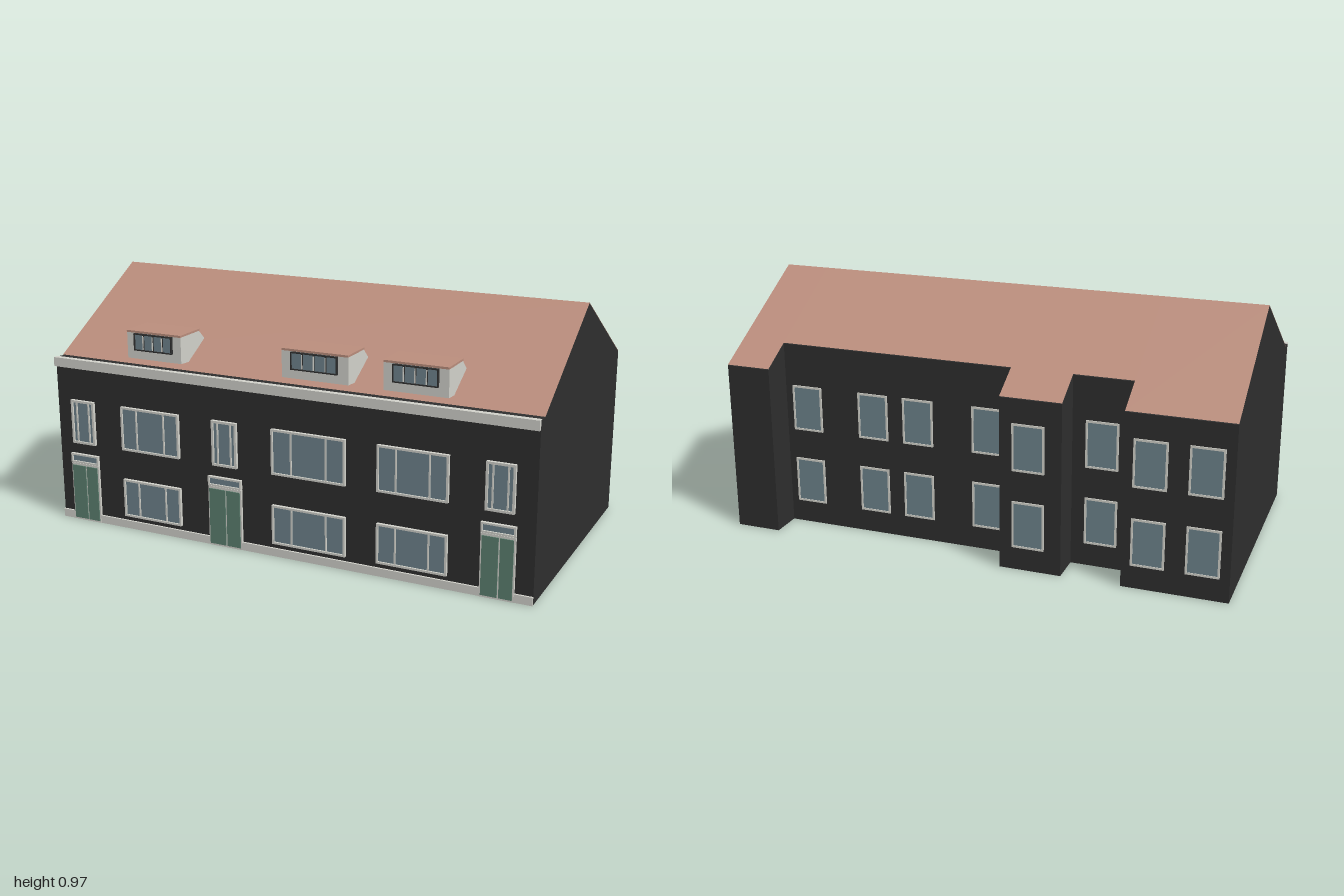
import * as THREE from 'three';

const mat = (name, color, extra = {}) => Object.assign(new THREE.MeshStandardMaterial({ color, ...extra }), { name });

export function createModel() {
  const house = new THREE.Group();
  house.name = 'terraceHouses';
  const brick = mat('darkBrick', 0x2e2e2e);
  const tile = mat('roofTile', 0xbb8e7d);
  tile.side = THREE.DoubleSide;
  const trim = mat('paleTrim', 0xd2d2cb);
  const glass = mat('glass', 0x6e838c);
  const green = mat('greenDoor', 0x5c8070);

  // Box given by its limits
  const box = (parent, name, m, x0, x1, y0, y1, z0, z1) => {
    const mesh = new THREE.Mesh(new THREE.BoxGeometry(x1 - x0, y1 - y0, z1 - z0), m);
    mesh.position.set((x0 + x1) / 2, (y0 + y1) / 2, (z0 + z1) / 2);
    mesh.name = name;
    parent.add(mesh);
    return mesh;
  };
  const group = (name) => {
    const g = new THREE.Group();
    g.name = name;
    house.add(g);
    return g;
  };
  // Solid with a (z, y) profile running from x0 to x1
  const alongX = (name, m, profile, x0, x1) => {
    const shape = new THREE.Shape(profile.map(([z, y]) => new THREE.Vector2(-z, y)));
    const geo = new THREE.ExtrudeGeometry(shape, { depth: x1 - x0, bevelEnabled: false });
    geo.rotateY(Math.PI / 2);
    geo.translate(x0, 0, 0);
    const mesh = new THREE.Mesh(geo, m);
    mesh.name = name;
    return mesh;
  };

  const ridgeZ = -0.03, ridgeY = 0.97, slope = 0.58, gutterZ = 0.48, frontZ = 0.525;
  const roofY = (z) => ridgeY - slope * Math.abs(z - ridgeZ);

  // Sloping sheet between two z positions
  const roofSheet = (name, x0, x1, zFront, zBack) => {
    const geo = new THREE.BufferGeometry();
    const a = roofY(zFront), b = roofY(zBack);
    geo.setAttribute('position', new THREE.Float32BufferAttribute(
      [x0, a, zFront, x1, a, zFront, x1, b, zBack, x0, b, zBack], 3));
    geo.setIndex([0, 1, 2, 0, 2, 3]);
    geo.computeVertexNormals();
    const mesh = new THREE.Mesh(geo, tile);
    mesh.name = name;
    house.add(mesh);
  };

  // Body in sections: the back steps in and out
  const near = -0.41, far = -0.535;
  const sections = [[-1, -0.6, far], [-0.6, -0.37, near], [-0.37, -0.13, far], [-0.13, 0.82, near], [0.82, 1, far]];
  for (const [x0, x1, back] of sections) {
    const gap = 0.003;
    house.add(alongX('walls', brick, [
      [frontZ, 0], [back, 0], [back, roofY(back) - gap], [ridgeZ, ridgeY - gap],
      [gutterZ, roofY(gutterZ) - gap], [frontZ, 0.675],
    ], x0, x1));
    roofSheet('backRoof', x0, x1, ridgeZ, back);
  }
  roofSheet('frontRoof', -1, 1, gutterZ, ridgeZ);

  // Plinth and gutter board on the front
  box(house, 'plinth', trim, -1, 1, 0, 0.032, frontZ, 0.533);
  box(house, 'gutterBoard', trim, -1, 1, 0.64, 0.677, 0.517, 0.54);

  // Rectangular frame with a hole, filled with glass; bars at fractions of the width
  const addWindow = (name, x0, x1, y0, y1, z, depth, dir, t, bars = [], frameMat = trim) => {
    const g = group(name);
    const outer = new THREE.Shape([[x0, y0], [x1, y0], [x1, y1], [x0, y1]].map((p) => new THREE.Vector2(...p)));
    outer.holes.push(new THREE.Path([[x0 + t, y0 + t], [x0 + t, y1 - t], [x1 - t, y1 - t], [x1 - t, y0 + t]]
      .map((p) => new THREE.Vector2(...p))));
    const frame = new THREE.Mesh(new THREE.ExtrudeGeometry(outer, { depth, bevelEnabled: false }), frameMat);
    frame.name = 'frame';
    frame.position.z = dir > 0 ? z : z - depth;
    g.add(frame);
    const span = (d) => (dir > 0 ? [z, z + d] : [z - d, z]);
    box(g, 'pane', glass, x0 + t, x1 - t, y0 + t, y1 - t, ...span(depth * 0.5));
    for (const f of bars) {
      const x = x0 + (x1 - x0) * f;
      box(g, 'glazingBar', frameMat, x - 0.003, x + 0.003, y0 + t, y1 - t, ...span(depth * 0.85));
    }
    return g;
  };

  // Wide front windows on both floors
  for (const [x0, x1, bars] of [[-0.695, -0.43, [0.27, 0.74]], [-0.025, 0.28, [0.27, 0.74]], [0.405, 0.68, [0.27, 0.74]]]) {
    addWindow('upperFrontWindow', x0, x1, 0.33, 0.508, frontZ, 0.013, 1, 0.008, bars);
    addWindow('lowerFrontWindow', x0, x1, 0.052, 0.208, frontZ, 0.013, 1, 0.008, bars);
  }

  // Entrances, each with a fanlight and a narrow window above
  for (const [x0, x1] of [[-0.945, -0.815], [-0.302, -0.157], [0.803, 0.932]]) {
    const c = (x0 + x1) / 2;
    const g = group('entrance');
    box(g, 'doorFrame', trim, x0, x1, 0, 0.243, frontZ, 0.535);
    box(g, 'doorLeaf', green, x0 + 0.006, c + 0.003, 0.008, 0.234, frontZ, 0.539);
    box(g, 'sidePanel', green, c + 0.009, x1 - 0.006, 0.008, 0.234, frontZ, 0.539);
    addWindow('fanlight', x0, x1, 0.245, 0.283, frontZ, 0.013, 1, 0.007);
    addWindow('narrowWindow', c - 0.052, c + 0.056, 0.328, 0.508, frontZ, 0.013, 1, 0.009, [0.24, 0.76]);
  }

  // Dormers with a flat tiled lid and a strip window
  for (const [x0, x1] of [[-0.675, -0.432], [0.003, 0.273], [0.41, 0.658]]) {
    house.add(alongX('dormer', trim, [[0.493, 0.7], [0.44, 0.697], [0.32, 0.765], [0.36, 0.803], [0.493, 0.803]], x0, x1));
    box(house, 'dormerLid', tile, x0, x1, 0.803, 0.811, 0.355, 0.495);
    const c = (x0 + x1) / 2, w = (x1 - x0) * 0.35;
    addWindow('dormerWindow', c - w, c + w, 0.735, 0.802, 0.493, 0.012, 1, 0.004, [0.25, 0.5, 0.75], brick);
    for (const f of [0.25, 0.5, 0.75]) {
      const x = c - w + 2 * w * f;
      box(house, 'dormerMullion', trim, x - 0.002, x + 0.002, 0.742, 0.795, 0.493, 0.506);
    }
  }

  // Back windows, two floors
  const backColumns = [
    [0.727, near], [0.442, near], [0.252, near], [-0.035, near],
    [-0.242, far], [-0.485, near], [-0.698, far], [-0.9, far],
  ];
  for (const [x, z] of backColumns) {
    for (const y of [0.09, 0.395]) {
      addWindow('backWindow', x - 0.063, x + 0.063, y, y + 0.185, z, 0.005, -1, 0.008);
    }
  }
  return house;
}
